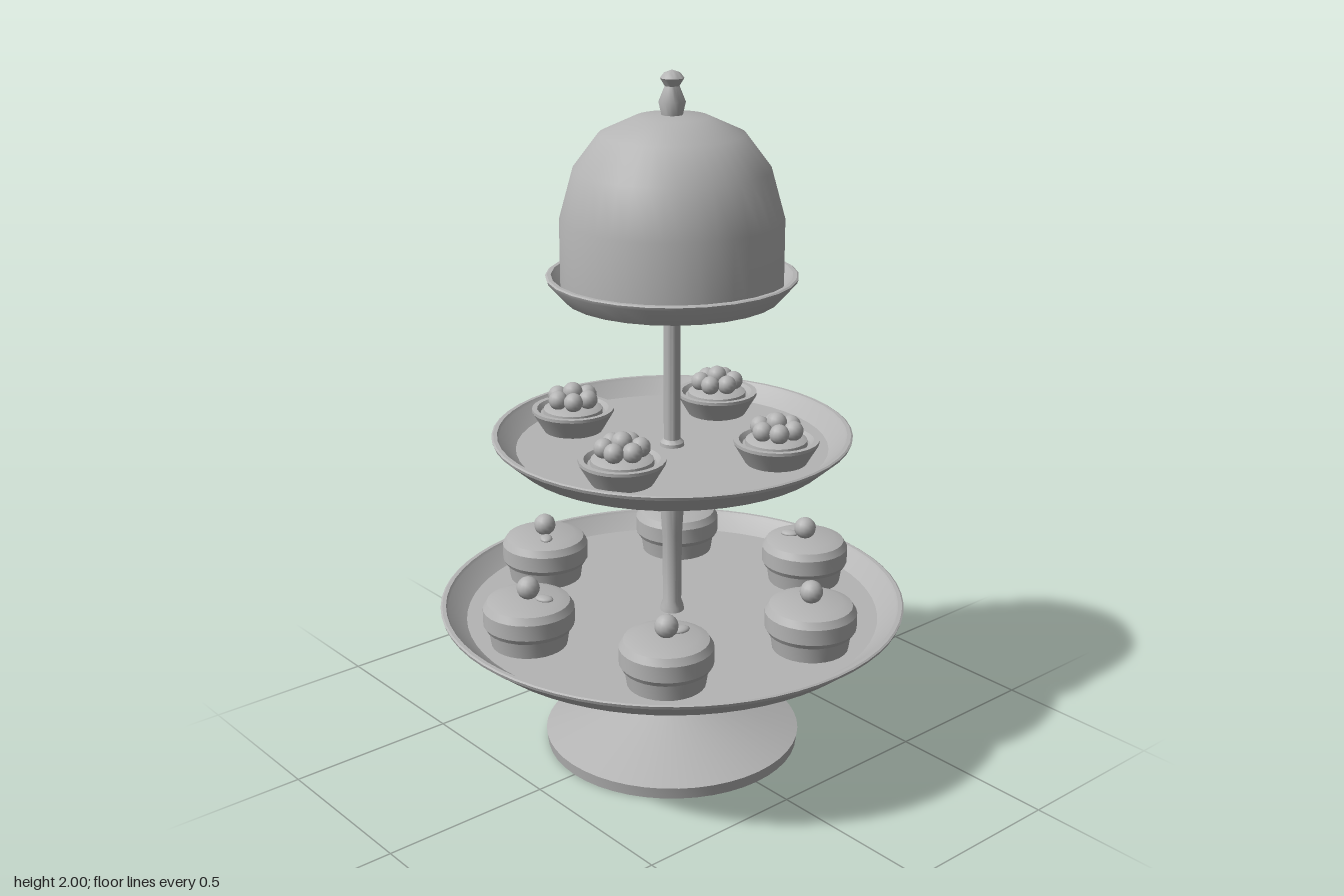
import * as THREE from 'three';
import { toCreasedNormals } from 'three/addons/utils/BufferGeometryUtils.js';

export function createModel() {
  const root = new THREE.Group();
  root.name = 'tieredCakeStand';
  const grey = new THREE.MeshStandardMaterial({ color: 0xb4b4b4 });
  grey.name = 'plain grey';

  // Turned part from a [radius, height] profile, bottom to top
  function turned(name, profile, sides, crease = 0.5, parent = root) {
    const points = profile.map(([r, y]) => new THREE.Vector2(r, y));
    const geometry = toCreasedNormals(new THREE.LatheGeometry(points, sides), crease);
    const mesh = new THREE.Mesh(geometry, grey);
    mesh.name = name;
    parent.add(mesh);
    return mesh;
  }

  function ball(name, r, x, y, z, parent) {
    const mesh = new THREE.Mesh(new THREE.SphereGeometry(r, 14, 10), grey);
    mesh.name = name;
    mesh.position.set(x, y, z);
    parent.add(mesh);
    return mesh;
  }

  // Foot and stem
  turned('foot', [[0, 0], [0.375, 0], [0.38, 0.035], [0.09, 0.14], [0.06, 0.21], [0, 0.21]], 48);
  turned('lowerStem', [[0.032, 0.2], [0.032, 0.35], [0.055, 0.38], [0.058, 0.405]], 20);
  turned('middleStem', [[0.036, 0.41], [0.034, 0.43], [0.027, 0.45], [0.029, 0.66], [0.037, 0.79],
    [0.036, 0.84], [0.03, 0.88], [0.055, 0.91], [0.055, 0.925]], 20);
  turned('upperStem', [[0.036, 0.925], [0.034, 0.945], [0.024, 0.955], [0.024, 1.39]], 20);

  // Shallow trays with a sloping wall and a thin lip
  function tray(name, base, rim, y0, y1, sides) {
    turned(name, [[0, y0], [base, y0], [rim - 0.003, y1 - 0.012], [rim, y1 - 0.003], [rim - 0.005, y1],
      [rim - 0.016, y1], [rim - 0.022, y1 - 0.008], [base - 0.005, y0 + 0.02], [0, y0 + 0.02]], sides);
  }
  tray('bottomTray', 0.61, 0.68, 0.397, 0.463, 64);
  tray('middleTray', 0.452, 0.515, 0.915, 0.98, 48);
  tray('topTray', 0.303, 0.352, 1.378, 1.442, 28);

  // Domed cover and its knob
  turned('dome', [[0, 1.4], [0.31, 1.4], [0.31, 1.6], [0.272, 1.735], [0.2, 1.83], [0.1, 1.876], [0, 1.882]], 40, 0.75);
  turned('domeKnob', [[0.028, 1.875], [0.037, 1.915], [0.02, 1.957], [0.033, 1.978], [0.022, 1.992], [0, 2]], 18, 0.75);

  // Six frosted cakes, each with a cherry and a leaf
  for (let i = 0; i < 6; i++) {
    const a = THREE.MathUtils.degToRad(42.5 + i * 60);
    const cake = new THREE.Group();
    cake.name = 'cake' + (i + 1);
    cake.position.set(0.46 * Math.cos(a), 0.415, 0.46 * Math.sin(a));
    cake.rotation.y = -a;
    root.add(cake);
    turned('cakeCup', [[0, 0], [0.108, 0], [0.117, 0.06], [0, 0.06]], 28, 0.5, cake);
    turned('cakeFrosting', [[0, 0.052], [0.122, 0.052], [0.13, 0.066], [0.13, 0.112],
      [0.118, 0.132], [0.09, 0.142], [0, 0.142]], 28, 0.5, cake);
    ball('cherry', 0.033, 0, 0.17, 0, cake);
    const leaf = ball('leaf', 0.027, -0.032, 0.144, -0.038, cake);
    leaf.scale.set(1, 0.35, 0.7);
    leaf.rotation.y = -0.87;
  }

  // Four berry tarts
  for (let i = 0; i < 4; i++) {
    const a = THREE.MathUtils.degToRad(65.5 + i * 90);
    const tart = new THREE.Group();
    tart.name = 'tart' + (i + 1);
    tart.position.set(0.32 * Math.cos(a), 0.933, 0.32 * Math.sin(a));
    tart.rotation.y = -a;
    root.add(tart);
    turned('tartShell', [[0, 0], [0.085, 0], [0.12, 0.06], [0.12, 0.069], [0.105, 0.069],
      [0.095, 0.055], [0, 0.055]], 26, 0.5, tart);
    turned('tartFilling', [[0.088, 0.05], [0.086, 0.068], [0.07, 0.076], [0, 0.078]], 26, 0.5, tart);
    ball('berry', 0.029, 0, 0.117, 0, tart);
    for (let k = 0; k < 6; k++) {
      const b = (k * Math.PI) / 3;
      ball('berry', 0.028, 0.05 * Math.cos(b), 0.1, 0.05 * Math.sin(b), tart);
    }
  }
  return root;
}
